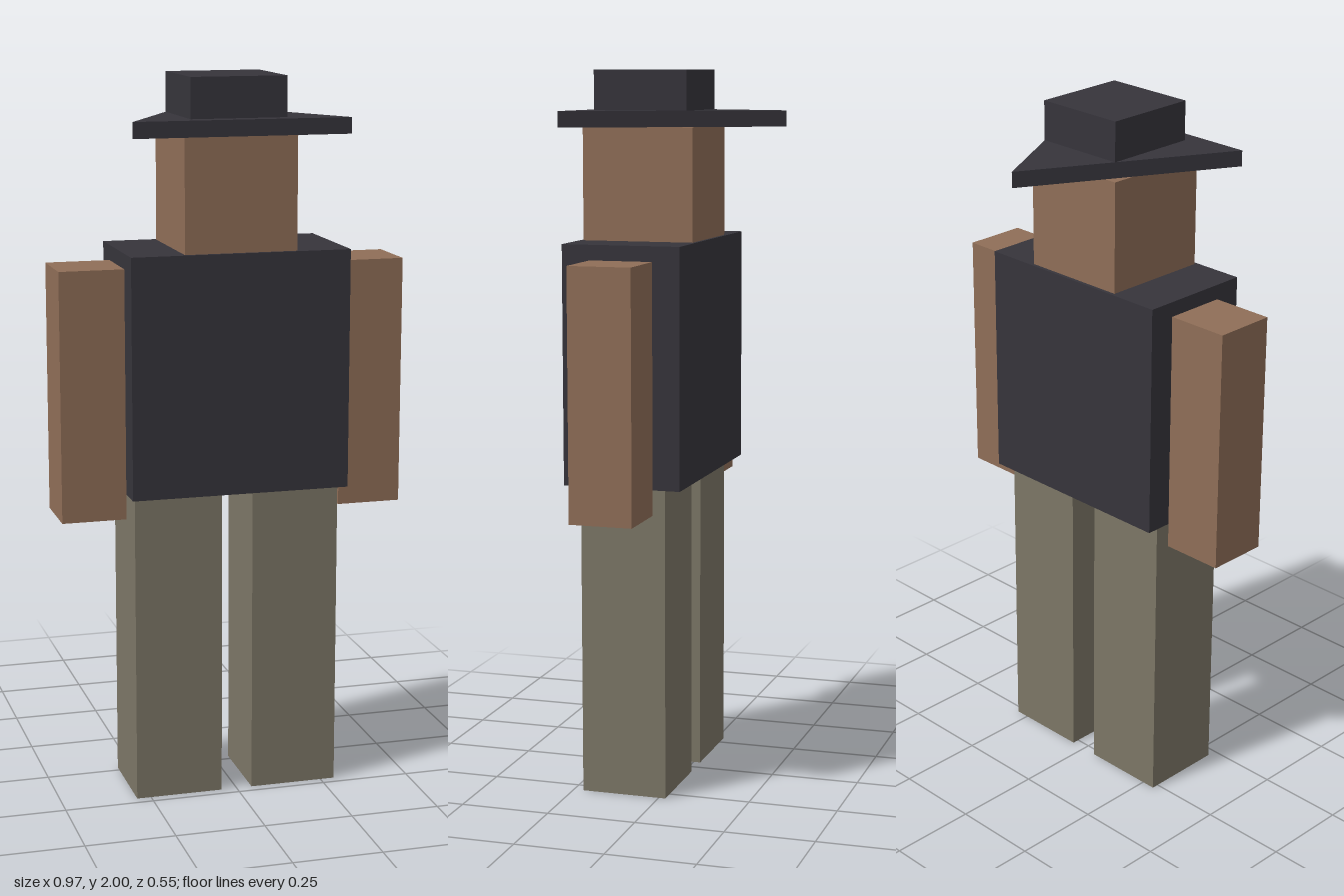
import * as THREE from 'three';

export function createModel() {
  const model = new THREE.Group();
  model.name = 'blockFigure';

  const material = (name, color) => {
    const m = new THREE.MeshStandardMaterial({ color });
    m.name = name;
    return m;
  };
  const charcoal = material('charcoal cloth', 0x36343b);
  const skin = material('brown skin', 0x8f6e57);
  const khaki = material('khaki trousers', 0x7c7666);

  // Box given by its extents along each axis
  const addBox = (name, mat, [x0, x1], [y0, y1], [z0, z1]) => {
    const mesh = new THREE.Mesh(new THREE.BoxGeometry(x1 - x0, y1 - y0, z1 - z0), mat);
    mesh.position.set((x0 + x1) / 2, (y0 + y1) / 2, (z0 + z1) / 2);
    mesh.name = name;
    model.add(mesh);
  };

  // Mirrored limbs
  for (const [side, s] of [['left', 1], ['right', -1]]) {
    const span = (a, b) => (s > 0 ? [a, b] : [-b, -a]);
    addBox(side + 'Leg', khaki, span(0.044, 0.29), [0, 0.873], [-0.02, 0.222]);
    addBox(side + 'Arm', skin, span(0.305, 0.484), [0.803, 1.493], [0.01, 0.187]);
  }

  // Torso and head
  addBox('torso', charcoal, [-0.305, 0.305], [0.873, 1.535], [-0.067, 0.266]);
  addBox('head', skin, [-0.156, 0.156], [1.535, 1.846], [-0.057, 0.257]);

  // Hat: triangular brim pointing backward, with a square crown
  const triangle = new THREE.Shape([
    new THREE.Vector2(-0.3, -0.276),
    new THREE.Vector2(0.3, -0.276),
    new THREE.Vector2(0, 0.278),
  ]);
  const brimGeometry = new THREE.ExtrudeGeometry(triangle, { depth: 0.044, bevelEnabled: false });
  brimGeometry.rotateX(-Math.PI / 2);
  const brim = new THREE.Mesh(brimGeometry, charcoal);
  brim.position.y = 1.846;
  brim.name = 'hatBrim';
  model.add(brim);
  addBox('hatCrown', charcoal, [-0.133, 0.133], [1.89, 2], [-0.034, 0.232]);

  return model;
}
